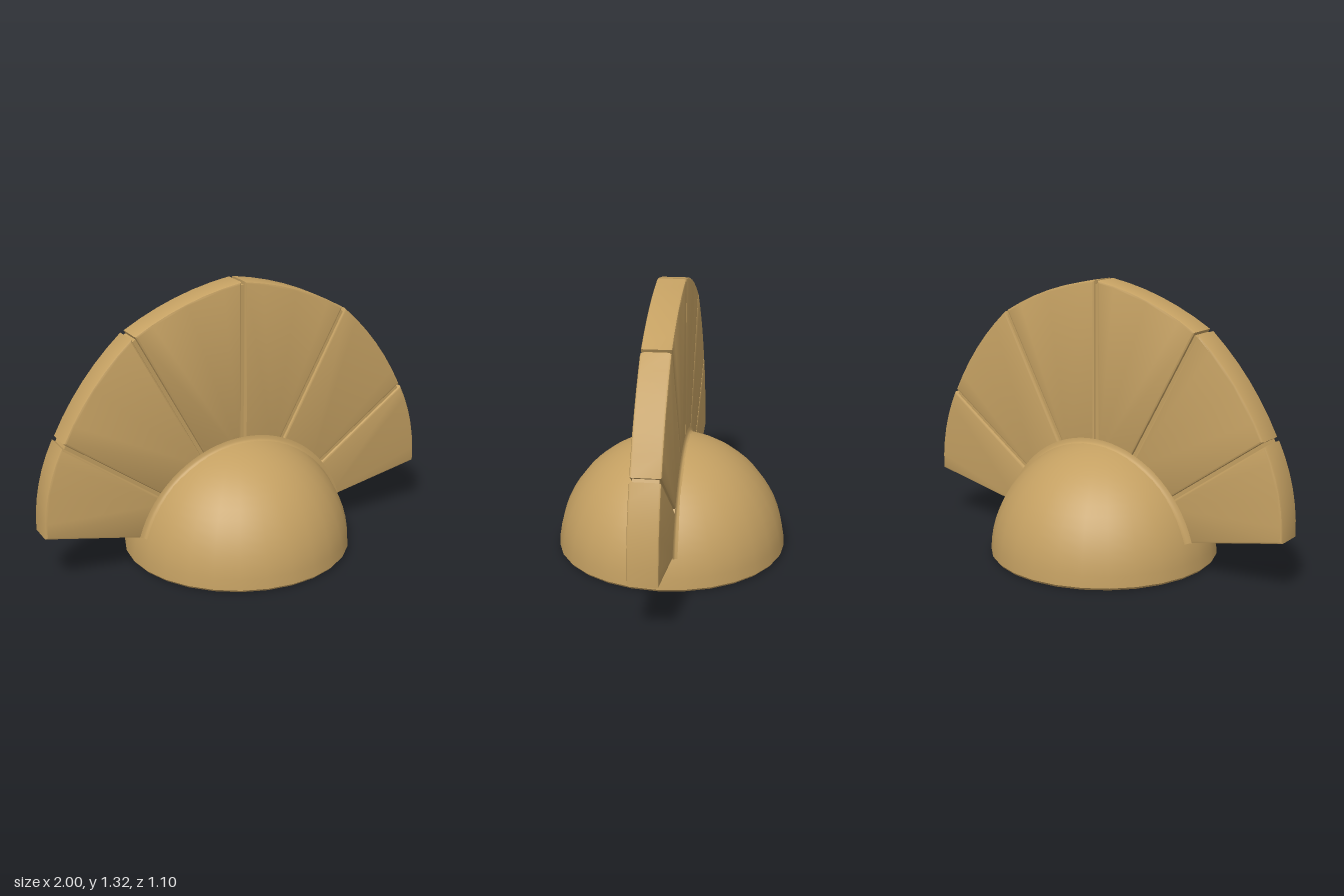
import * as THREE from 'three';
import { toCreasedNormals } from 'three/addons/utils/BufferGeometryUtils.js';

const V = (x, y) => new THREE.Vector2(x, y);
const HALF = 0.068; // half thickness of the fan
const R = 0.55;     // dome radius

// Rays of the fan, right to left: inner end (inside the dome) and outer end
const rightRays = [
  [V(0.49, 0.15), V(1.0, 0.255)],
  [V(0.38, 0.316), V(0.897, 0.685)],
  [V(0.18, 0.455), V(0.548, 1.13)],
];
const rays = [
  ...rightRays,
  [V(0, 0.48), V(0, 1.32)],
  ...rightRays.map(r => r.map(p => V(-p.x, p.y))).reverse(),
];

// Adds a gently bulging rim from a to b
function bulge(shape, a, b) {
  const mid = a.clone().add(b).multiplyScalar(0.5);
  const out = V(b.y - a.y, a.x - b.x).normalize().multiplyScalar(0.055);
  mid.add(out);
  shape.quadraticCurveTo(mid.x, mid.y, b.x, b.y);
}

// Moves a ray sideways to leave half a groove
function shifted([inner, outer], amount) {
  const d = outer.clone().sub(inner).normalize();
  const n = V(-d.y, d.x).multiplyScalar(amount);
  return [inner.clone().add(n), outer.clone().add(n)];
}

function slab(shape, half, bevel) {
  const depth = 2 * (half - bevel);
  const g = new THREE.ExtrudeGeometry(shape, {
    depth, curveSegments: 6, bevelEnabled: bevel > 0,
    bevelSize: bevel, bevelThickness: bevel, bevelOffset: -bevel, bevelSegments: 2,
  });
  g.translate(0, 0, -depth / 2);
  return toCreasedNormals(g, 0.45);
}

export function createModel() {
  const model = new THREE.Group();
  const tan = new THREE.MeshStandardMaterial({ color: 0xc4a062, side: THREE.DoubleSide });
  tan.name = 'tan';
  const add = (name, geometry, parent = model) => {
    const mesh = new THREE.Mesh(geometry, tan);
    mesh.name = name;
    parent.add(mesh);
  };

  // Solid half dome with a small chamfer at the foot
  const profile = [V(0, 0), V(0.54, 0), V(R, 0.012)];
  for (let i = 1; i <= 16; i++) {
    const a = 0.022 + (i / 16) * (Math.PI / 2 - 0.022);
    profile.push(V(Math.max(0, R * Math.cos(a)), R * Math.sin(a)));
  }
  add('dome', toCreasedNormals(new THREE.LatheGeometry(profile, 28), 0.6));

  // Fan: six bevelled panels separated by grooves
  const fan = new THREE.Group();
  fan.name = 'fan';
  model.add(fan);
  const last = rays.length - 1;
  for (let i = 0; i < last; i++) {
    const [ai, ao] = shifted(rays[i], i === 0 ? 0 : 0.009);
    const [bi, bo] = shifted(rays[i + 1], i + 1 === last ? 0 : -0.009);
    const shape = new THREE.Shape();
    shape.moveTo(ai.x, ai.y);
    shape.lineTo(ao.x, ao.y);
    bulge(shape, ao, bo);
    shape.lineTo(bi.x, bi.y);
    shape.closePath();
    add('fanPanel' + (i + 1), slab(shape, HALF, 0.01), fan);
  }

  // Thinner core that forms the groove floors
  const inset = p => V(p.x * 0.984, 0.3 + (p.y - 0.3) * 0.984);
  const core = new THREE.Shape();
  const start = inset(rays[0][0]);
  core.moveTo(start.x, start.y);
  let p = inset(rays[0][1]);
  core.lineTo(p.x, p.y);
  for (let i = 1; i <= last; i++) {
    const q = inset(rays[i][1]);
    bulge(core, p, q);
    p = q;
  }
  for (let i = last; i > 0; i--) {
    const q = inset(rays[i][0]);
    core.lineTo(q.x, q.y);
  }
  core.closePath();
  add('fanCore', slab(core, HALF - 0.012, 0), fan);

  // Small concave fillets where the fan meets the dome
  for (const side of [1, -1]) {
    const pts = [V(0.568, HALF), V(0.553, HALF + 0.003), V(0.546, HALF + 0.009), V(0.541, HALF + 0.02)]
      .map(q => V(q.x, q.y * side));
    if (side > 0) pts.reverse();
    const g = new THREE.LatheGeometry(pts, 32, Math.PI - 1.28, 2.56);
    g.rotateX(Math.PI / 2);
    add(side > 0 ? 'frontFillet' : 'backFillet', g, fan);
  }
  return model;
}
